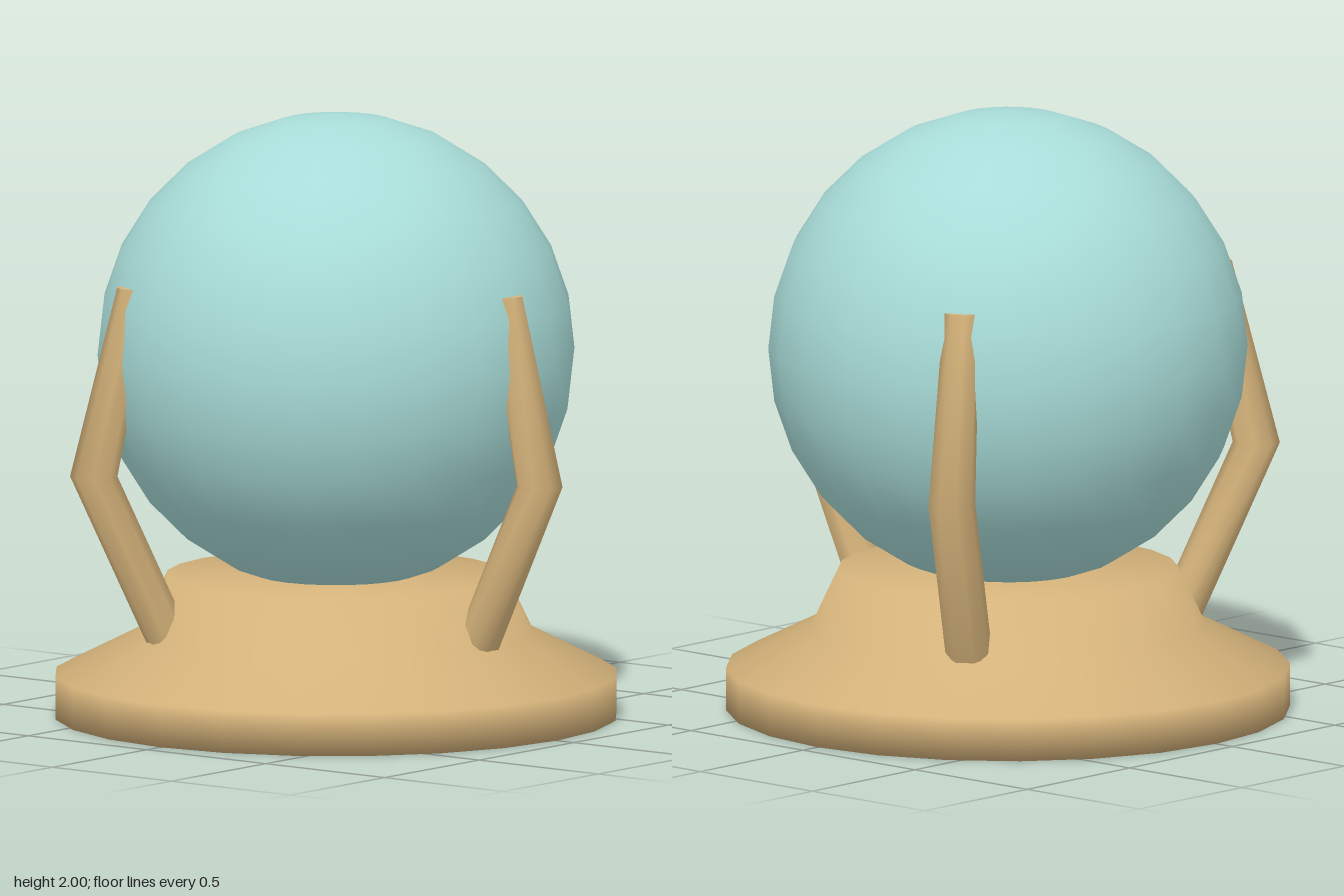
import * as THREE from 'three';
import { mergeVertices } from 'three/addons/utils/BufferGeometryUtils.js';

const gold = new THREE.MeshStandardMaterial({ color: 0xd4b27a });
gold.name = 'gold';
const paleTeal = new THREE.MeshStandardMaterial({ color: 0xa8dcd8 });
paleTeal.name = 'paleTeal';

// Weld the seam and share area-weighted normals
function smooth(geometry, keepCaps) {
  geometry.deleteAttribute('uv');
  if (!keepCaps) geometry.deleteAttribute('normal');
  const welded = mergeVertices(geometry, 1e-4);
  welded.computeVertexNormals();
  return welded;
}

// Bent prong: three horizontal rings (bottom, elbow, tip) in the xy plane
function prongGeometry() {
  const rings = [
    { x: 0.553, y: 0.2, r: 0.078 },
    { x: 0.857, y: 0.84, r: 0.078 },
    { x: 0.71, y: 1.46, r: 0.06 },
  ];
  const geometry = new THREE.CylinderGeometry(1, 1, 2, 8, 2);
  geometry.rotateY(Math.PI / 8);
  const p = geometry.attributes.position;
  for (let i = 0; i < p.count; i++) {
    const ring = rings[Math.round(p.getY(i)) + 1];
    p.setXYZ(i, ring.x + p.getX(i) * ring.r, ring.y, p.getZ(i) * ring.r);
  }
  return smooth(geometry, true);
}

export function createModel() {
  const model = new THREE.Group();
  model.name = 'orbOnStand';

  const add = (name, geometry, material) => {
    const mesh = new THREE.Mesh(geometry, material);
    mesh.name = name;
    model.add(mesh);
    return mesh;
  };

  // Stepped round base
  const profile = [[0, 0], [0.93, 0], [0.93, 0.14], [0.65, 0.28], [0.56, 0.47], [0, 0.47]]
    .map(([x, y]) => new THREE.Vector2(x, y));
  add('base', smooth(new THREE.LatheGeometry(profile, 24), false), gold);

  // Orb
  add('orb', new THREE.SphereGeometry(0.79, 24, 14), paleTeal).position.y = 1.21;

  // Three prongs around the orb
  const prong = prongGeometry();
  for (let i = 0; i < 3; i++) {
    add('prong' + (i + 1), prong, gold).rotation.y = (i * Math.PI * 2) / 3;
  }

  return model;
}
